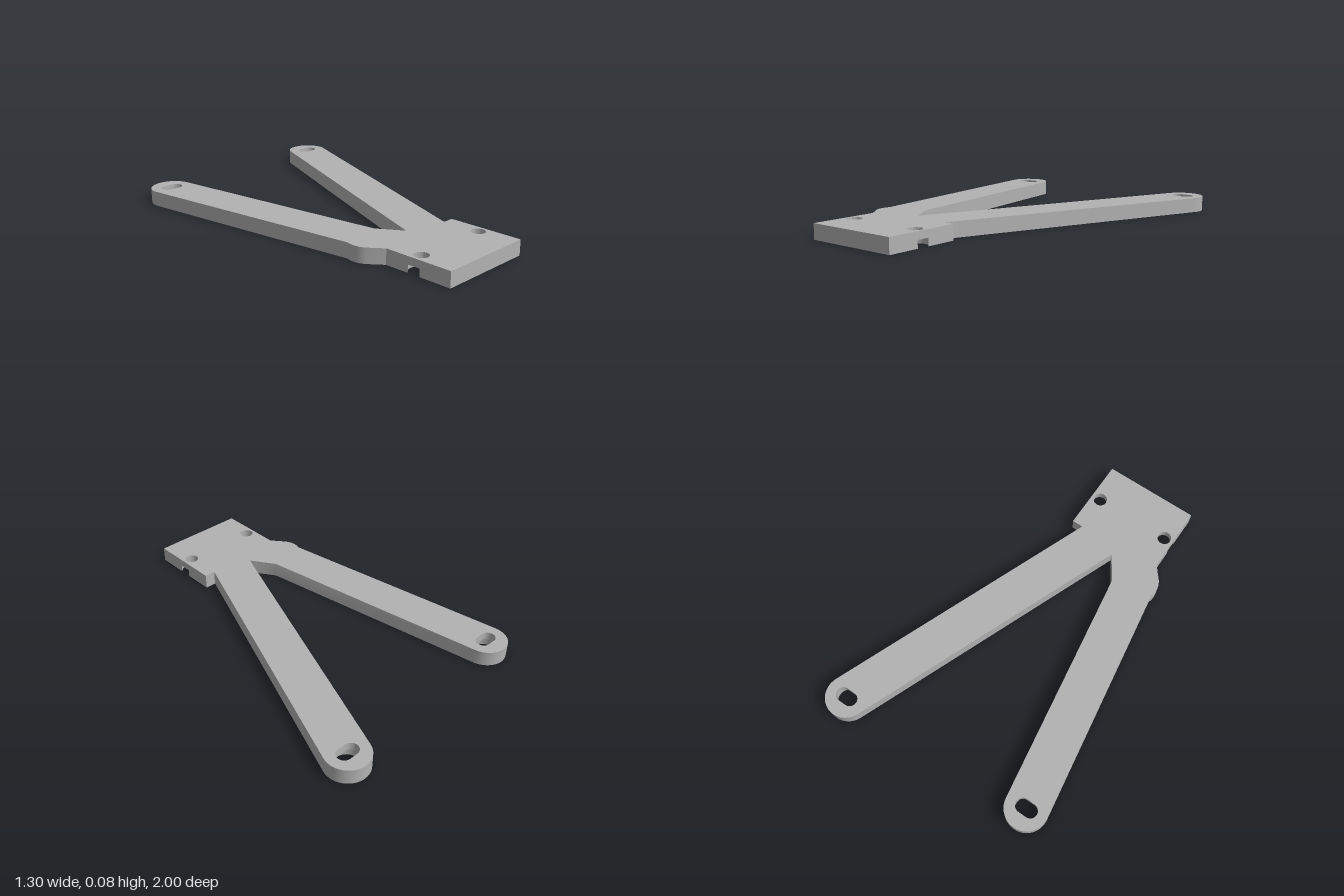
import * as THREE from 'three';
import { mergeGeometries, toCreasedNormals } from 'three/addons/utils/BufferGeometryUtils.js';

const H = 0.08, MID = 0.04;          // plate thickness, counterbore depth
const HOLE_R = 0.037, BORE_R = 0.061;
const rad = THREE.MathUtils.degToRad;

// Plan points: x to the right, y towards the back (-z)
function arc(cx, cy, r, a0, a1, n = 20) {
  return Array.from({ length: n + 1 }, (_, i) => {
    const a = rad(a0 + (a1 - a0) * i / n);
    return new THREE.Vector2(cx + r * Math.cos(a), cy + r * Math.sin(a));
  });
}
const pt = (x, y) => new THREE.Vector2(x, y);

// Flat horizontal face with holes, facing up or down
function cap(points, holes, y, down) {
  const shape = new THREE.Shape(points);
  holes.forEach(h => shape.holes.push(new THREE.Path(h)));
  const g = new THREE.ShapeGeometry(shape).rotateX(-Math.PI / 2).translate(0, y, 0);
  if (down) {
    g.index.array.reverse();
    g.computeVertexNormals();
  }
  g.deleteAttribute('uv');
  return g.toNonIndexed();
}

// Vertical wall along a path, facing the right-hand side of travel
function wall(points, y0, y1, closed = false) {
  const pos = [];
  const count = closed ? points.length : points.length - 1;
  for (let i = 0; i < count; i++) {
    const a = points[i], b = points[(i + 1) % points.length];
    if (a.distanceTo(b) < 1e-6) continue;
    pos.push(a.x, y0, -a.y, b.x, y0, -b.y, b.x, y1, -b.y);
    pos.push(a.x, y0, -a.y, b.x, y1, -b.y, a.x, y1, -a.y);
  }
  const g = new THREE.BufferGeometry();
  g.setAttribute('position', new THREE.Float32BufferAttribute(pos, 3));
  g.computeVertexNormals();
  return toCreasedNormals(g, rad(25));
}

export function createModel() {
  const group = new THREE.Group();
  const grey = new THREE.MeshStandardMaterial({ color: 0xb2b2b2 });
  const add = (name, geometries) => {
    const mesh = new THREE.Mesh(mergeGeometries(geometries), grey);
    mesh.name = name;
    group.add(mesh);
  };

  // Screw holes near the block sides, whose counterbores break through the sides
  const left = -0.385, right = 0.135, boreY = -0.797, inset = 0.051;
  const open = THREE.MathUtils.radToDeg(Math.acos(inset / BORE_R));
  const rightBore = arc(right - inset, boreY, BORE_R, -open, open - 360, 32);
  const leftBore = arc(left + inset, boreY, BORE_R, 180 - open, open - 180, 32);

  // Outline of both arms and shoulder, counter-clockwise
  const armsPath = [
    rightBore.at(-1), pt(right, -0.6), pt(0.075, -0.6),
    ...arc(0.535, 0.888, 0.112, -21.4, 158.6),
    pt(-0.15, -0.55), pt(-0.235, -0.42),
    ...arc(-0.54, 0.828, 0.112, 8.7, 188.7),
    ...arc(-0.35, -0.5, 0.112, 159, 216, 8),
    pt(left, -0.635), leftBore[0],
  ];
  const blockPath = [leftBore.at(-1), pt(left, -1), pt(right, -1), rightBore[0]];

  // Through holes (clockwise): round in the block, slotted at the arm tips
  const screwHoles = [right - inset, left + inset].map(x => arc(x, boreY, HOLE_R, 360, 0, 32).slice(1));
  const tips = [[0.535, 0.89], [-0.54, 0.828]];
  const slots = tips.map(([x, y]) => [
    ...arc(x + 0.023, y, HOLE_R, 90, -90, 16),
    ...arc(x - 0.023, y, HOLE_R, -90, -270, 16),
  ]);
  const tipBores = tips.map(([x, y]) => arc(x, y, BORE_R, 360, 0, 32).slice(1));
  const holes = [...screwHoles, ...slots];

  add('topFace', [cap([...armsPath, ...blockPath], holes, H, false)]);
  add('bottomFace', [cap(
    [...armsPath, ...leftBore.slice(1, -1), ...blockPath, ...rightBore.slice(1, -1)],
    tipBores, 0, true)]);
  add('outerWalls', [
    wall(armsPath, 0, H),
    wall(blockPath, 0, H),
    wall([leftBore[0], leftBore.at(-1)], MID, H),
    wall([rightBore[0], rightBore.at(-1)], MID, H),
  ]);
  add('holeWalls', holes.map(h => wall(h, MID, H, true)));

  // Recesses on the underside
  const bores = [rightBore, leftBore, ...tipBores];
  add('counterboreWalls', bores.map((b, i) => wall(b, 0, MID, i > 1)));
  add('counterboreLedges', bores.map((b, i) => cap(b, [holes[i]], MID, true)));

  return group;
}
